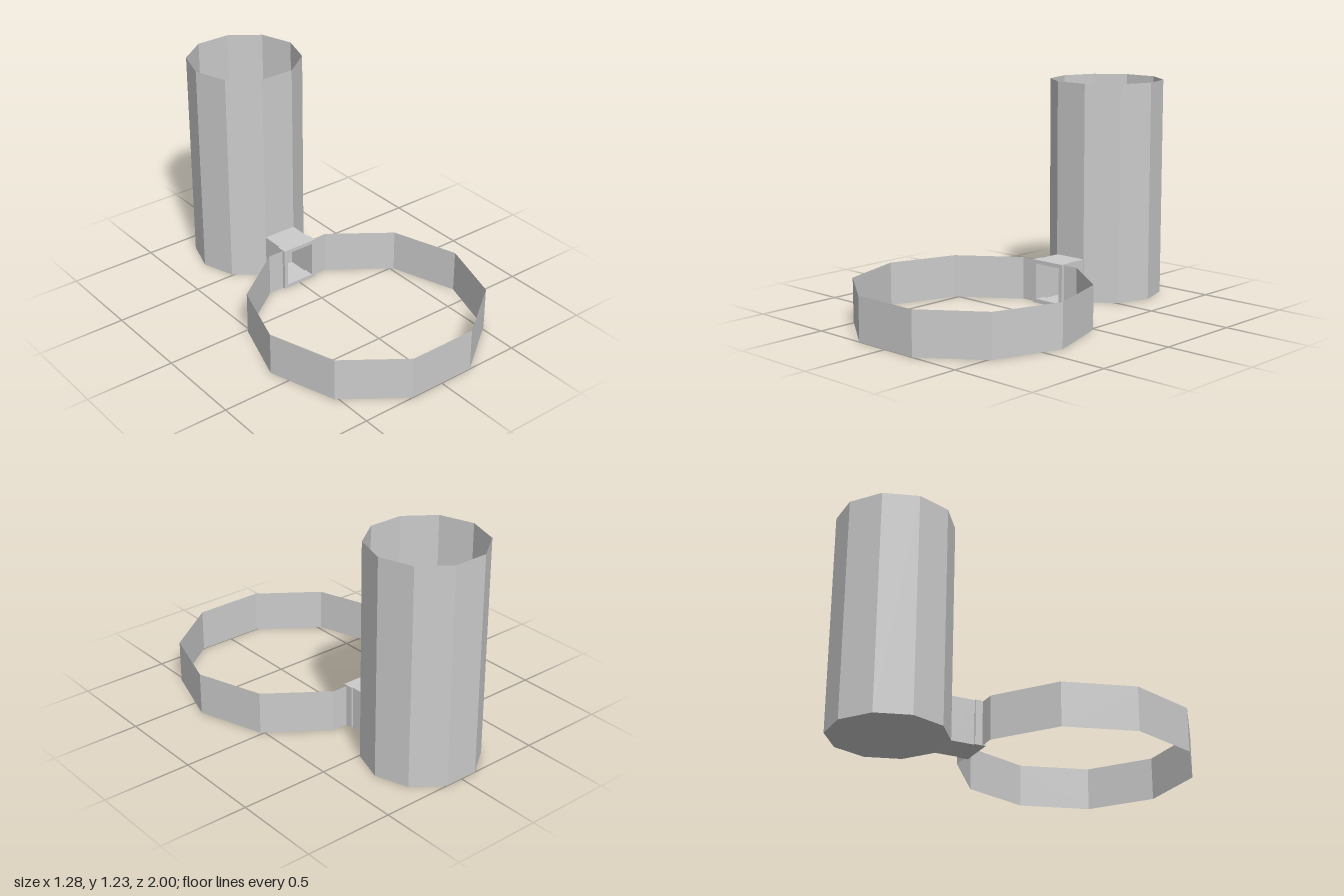
import * as THREE from 'three';

const SIDES = 10;

export function createModel() {
  const model = new THREE.Group();
  const material = new THREE.MeshStandardMaterial({
    color: 0xcccccc, flatShading: true, side: THREE.DoubleSide,
  });
  const add = (name, geometry, x, y, z, parent = model) => {
    const mesh = new THREE.Mesh(geometry, material);
    mesh.name = name;
    mesh.position.set(x, y, z);
    parent.add(mesh);
    return mesh;
  };

  // Open-topped ten-sided cup with a corner on each side
  const cup = new THREE.Group();
  cup.name = 'cup';
  model.add(cup);
  add('cupWall', new THREE.CylinderGeometry(0.32, 0.32, 1.23, SIDES, 1, true, Math.PI / 2), 0, 0.615, -0.695, cup);
  add('cupBottom', new THREE.CircleGeometry(0.32, SIDES), 0, 0, -0.695, cup).rotation.x = Math.PI / 2;

  // Thin band: nine full facets, the rear one is interrupted by the clasp
  const bandHeight = 0.242, bandRadius = 0.64, bandZ = 0.39;
  const step = (2 * Math.PI) / SIDES;
  const band = new THREE.Group();
  band.name = 'band';
  model.add(band);
  add('bandLoop', new THREE.CylinderGeometry(bandRadius, bandRadius, bandHeight, SIDES - 1, 1, true,
    Math.PI + step / 2, step * (SIDES - 1)), 0, bandHeight / 2, bandZ, band);
  const endX = bandRadius * Math.sin(step / 2);
  const endZ = bandZ - bandRadius * Math.cos(step / 2);
  const tabWidth = endX - 0.095;
  for (const side of [-1, 1]) {
    add(side > 0 ? 'leftBandEnd' : 'rightBandEnd', new THREE.PlaneGeometry(tabWidth, bandHeight),
      side * (endX - tabWidth / 2), bandHeight / 2, endZ, band);
  }

  // Hollow rectangular frames joining the band to the cup
  const frame = (halfWidth, height, wall, depth) => {
    const shape = new THREE.Shape([
      new THREE.Vector2(-halfWidth, 0), new THREE.Vector2(halfWidth, 0),
      new THREE.Vector2(halfWidth, height), new THREE.Vector2(-halfWidth, height),
    ]);
    const w = halfWidth - wall;
    shape.holes.push(new THREE.Path([
      new THREE.Vector2(-w, wall), new THREE.Vector2(-w, height - wall),
      new THREE.Vector2(w, height - wall), new THREE.Vector2(w, wall),
    ]));
    return new THREE.ExtrudeGeometry(shape, { depth, bevelEnabled: false });
  };
  const clasp = new THREE.Group();
  clasp.name = 'clasp';
  model.add(clasp);
  add('claspRim', frame(0.107, 0.247, 0.022, 0.06), 0, 0, -0.26, clasp);
  add('claspTunnel', frame(0.098, 0.246, 0.013, 0.13), 0, 0, -0.39, clasp);

  return model;
}
